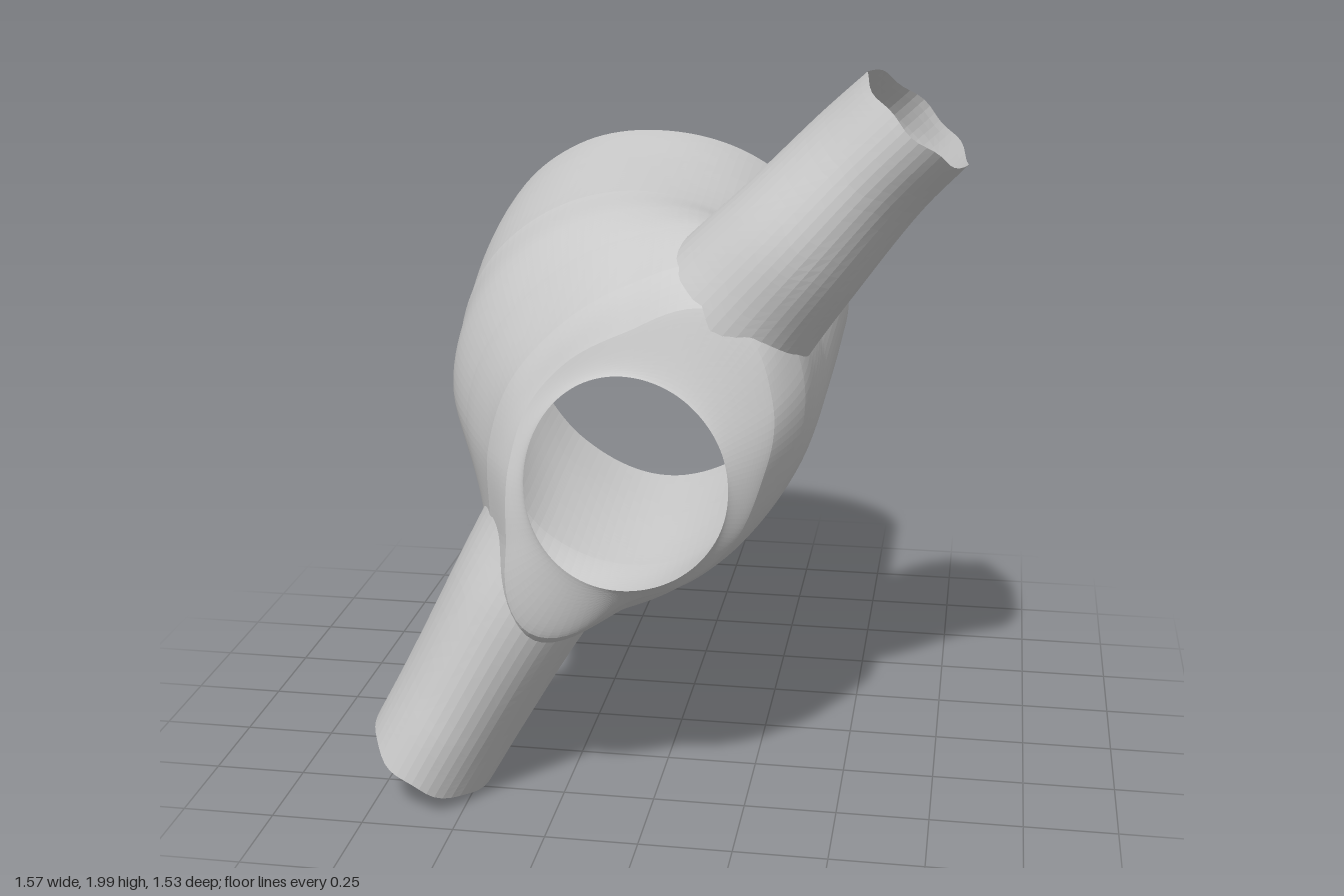
import * as THREE from 'three';

const TAU = Math.PI * 2;
const { lerp, smoothstep, clamp } = THREE.MathUtils;

// Main pipe sections: z, centre x, centre y, then the radius every 30 degrees.
// Towards the front they swell along the branches and slim down between them.
const BODY = [
  [-0.745, -0.155, 1.09, 0.565, 0.56, 0.55, 0.55, 0.575, 0.59, 0.555, 0.51, 0.54, 0.575, 0.55, 0.53],
  [-0.4, -0.142, 1.08, 0.555, 0.55, 0.545, 0.535, 0.56, 0.57, 0.55, 0.51, 0.54, 0.572, 0.54, 0.515],
  [0.0, -0.12, 1.06, 0.53, 0.53, 0.535, 0.535, 0.535, 0.535, 0.52, 0.49, 0.56, 0.57, 0.52, 0.49],
  [0.18, -0.11, 1.05, 0.52, 0.55, 0.57, 0.53, 0.505, 0.5, 0.505, 0.48, 0.61, 0.565, 0.49, 0.47],
  [0.35, -0.09, 1.03, 0.49, 0.55, 0.6, 0.51, 0.45, 0.435, 0.445, 0.47, 0.62, 0.52, 0.45, 0.44],
  [0.55, -0.06, 1.01, 0.43, 0.52, 0.58, 0.45, 0.375, 0.355, 0.365, 0.42, 0.6, 0.42, 0.375, 0.38],
  [0.66, -0.04, 0.995, 0.345, 0.43, 0.5, 0.37, 0.32, 0.305, 0.31, 0.36, 0.5, 0.335, 0.315, 0.32],
  [0.71, -0.03, 0.99, 0.26, 0.265, 0.27, 0.27, 0.27, 0.27, 0.27, 0.27, 0.27, 0.27, 0.27, 0.265]
];

// Side branches: [centre x, y, z, half width in the front plane, half depth in z]
const BRANCHES = {
  upperBranch: [
    [0.13, 1.28, 0.41, 0.24, 0.26], [0.25, 1.43, 0.41, 0.215, 0.268],
    [0.37, 1.57, 0.42, 0.195, 0.275], [0.54, 1.765, 0.39, 0.175, 0.305],
    [0.655, 1.885, 0.435, 0.168, 0.275]
  ],
  lowerBranch: [
    [-0.19, 0.85, 0.41, 0.24, 0.26], [-0.27, 0.73, 0.41, 0.215, 0.265],
    [-0.365, 0.575, 0.42, 0.2, 0.27], [-0.535, 0.265, 0.39, 0.187, 0.31],
    [-0.625, 0.1, 0.43, 0.182, 0.275]
  ]
};

// Smooth curve through four neighbouring values
function smooth(a, b, c, d, t) {
  return b + 0.5 * t * (c - a + t * (2 * a - 5 * b + 4 * c - d + t * (3 * (b - c) + d - a)));
}

// Centre, depth and radius of the main pipe at a fractional row k and an angle
function bodyAt(k, angle) {
  const last = BODY.length - 1;
  const j = clamp(Math.floor(k), 0, last - 1);
  const value = n => smooth(...[-1, 0, 1, 2].map(o => BODY[clamp(j + o, 0, last)][n]), k - j);
  const turn = ((angle / TAU + 1) % 1) * 12;
  const i = Math.floor(turn);
  const r = smooth(...[11, 12, 13, 14].map(o => value(3 + (i + o) % 12)), turn - i);
  return { x: value(1), y: value(2), z: lerp(BODY[j][0], BODY[j + 1][0], k - j), r };
}

function insideBody(p) {
  if (p.z > 0.71) return false;
  let j = 0;
  while (j < BODY.length - 2 && BODY[j + 1][0] < p.z) j++;
  const k = j + (p.z - BODY[j][0]) / (BODY[j + 1][0] - BODY[j][0]);
  const { x, y } = bodyAt(k, 0);
  const dx = p.x - x, dy = p.y - y;
  return Math.hypot(dx, dy) < bodyAt(k, Math.atan2(dy, dx)).r;
}

// Open grid surface from point(u, angle), leaving out the quads that skip() picks
function surface(name, rows, sides, point, skip = () => false) {
  const pos = [], index = [], pts = [];
  for (let j = 0; j <= rows; j++) {
    for (let i = 0; i < sides; i++) {
      const p = point(j / rows, i / sides * TAU);
      pts.push(p);
      pos.push(p.x, p.y, p.z);
    }
  }
  for (let j = 0; j < rows; j++) {
    for (let i = 0; i < sides; i++) {
      const a = j * sides + i, b = j * sides + (i + 1) % sides;
      const c = b + sides, d = a + sides;
      const mid = pts[a].clone().add(pts[b]).add(pts[c]).add(pts[d]).multiplyScalar(0.25);
      if (!skip(mid)) index.push(a, b, c, a, c, d);
    }
  }
  const geo = new THREE.BufferGeometry();
  geo.setAttribute('position', new THREE.Float32BufferAttribute(pos, 3));
  geo.setIndex(index);
  geo.computeVertexNormals();
  const mesh = new THREE.Mesh(geo, new THREE.MeshStandardMaterial({
    color: 0xcccccc, flatShading: true, side: THREE.DoubleSide
  }));
  mesh.name = name;
  return mesh;
}

// Describes a branch as a swept ellipse, with a test for points in its bore
function makeBranch(data) {
  const path = new THREE.CatmullRomCurve3(data.map(d => new THREE.Vector3(d[0], d[1], d[2])));
  const size = new THREE.CatmullRomCurve3(data.map(d => new THREE.Vector3(d[3], d[4], 0)));
  const first = path.getPoint(0);
  const axis = path.getPoint(1).sub(first).setZ(0);
  const length = axis.length();
  axis.normalize();
  const across = new THREE.Vector3(axis.y, -axis.x, 0);
  const point = (s, a) => {
    const r = size.getPoint(s), p = path.getPoint(s);
    p.addScaledVector(across, -r.x * Math.cos(a));
    p.z += r.y * Math.sin(a);
    return p;
  };
  const contains = p => {
    const along = p.clone().sub(first).dot(axis) / length;
    if (along < 0 || along > 1) return false;
    // Match the distance along the axis to the curve parameter
    let s = along;
    for (let n = 0; n < 4; n++) {
      s = clamp(s + along - path.getPoint(s).sub(first).dot(axis) / length, 0, 1);
    }
    const c = path.getPoint(s), r = size.getPoint(s);
    return Math.hypot(p.clone().sub(c).dot(across) / r.x, (p.z - c.z) / r.y) < 0.94;
  };
  // Where the wall at this angle leaves the main pipe
  const root = a => {
    let s = 1;
    while (s > 0 && !insideBody(point(s, a))) s -= 0.01;
    return Math.max(0, s);
  };
  return { point, contains, root, axis };
}

export function createModel() {
  const group = new THREE.Group();
  group.name = 'branchingPipe';
  const branches = Object.entries(BRANCHES).map(([name, d]) => ({ name, ...makeBranch(d) }));

  // Main pipe: open wide at the back, drawn in to a round mouth at the front
  const bodyPoint = (u, a) => {
    const { x, y, z, r } = bodyAt(u * (BODY.length - 1), a);
    const mouth = 0.045 * Math.cos(a + 1.05) + 0.025 * Math.cos(2 * (a - 0.87));
    const backRim = 0.025 * Math.cos(2 * a + 0.8);
    const ripple = mouth * smoothstep(z, 0.55, 0.71) - backRim * (1 - smoothstep(z, -0.74, -0.4));
    return new THREE.Vector3(x + r * Math.cos(a), y + r * Math.sin(a), z + ripple);
  };
  group.add(surface('mainPipe', 112, 132, bodyPoint, p => branches.some(b => b.contains(p))));

  // Flattened side branches, each starting on the wall of the main pipe
  for (const b of branches) {
    const roots = new Map();
    group.add(surface(b.name, 22, 48, (u, a) => {
      if (!roots.has(a)) roots.set(a, b.root(a));
      const p = b.point(lerp(roots.get(a), 1, u), a);
      // Slightly ragged open end
      return p.addScaledVector(b.axis, 0.005 * Math.sin(7 * a) * smoothstep(u, 0.85, 1));
    }));
  }
  return group;
}
